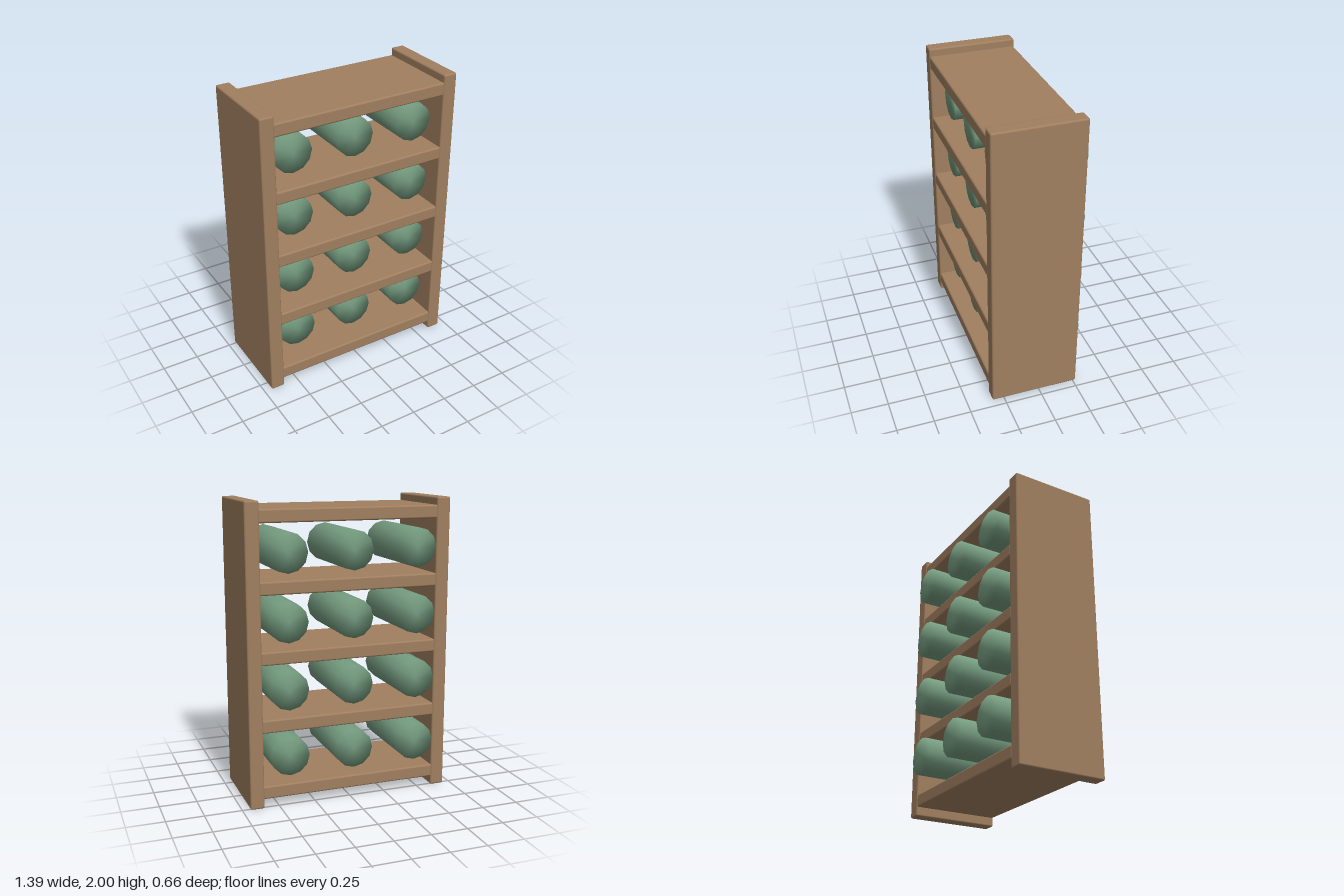
import * as THREE from 'three';
import { mergeVertices } from 'three/addons/utils/BufferGeometryUtils.js';
import { RoundedBoxGeometry } from 'three/addons/geometries/RoundedBoxGeometry.js';

export function createModel() {
  const model = new THREE.Group();
  model.name = 'rollRack';

  const wood = new THREE.MeshStandardMaterial({ color: 0xa07f5f });
  wood.name = 'wood';
  const green = new THREE.MeshStandardMaterial({ color: 0x759c80 });
  green.name = 'green';

  function add(name, geometry, material, x, y, z) {
    const mesh = new THREE.Mesh(geometry, material);
    mesh.name = name;
    mesh.position.set(x, y, z);
    model.add(mesh);
  }

  // Upright side boards
  const sideGeo = new RoundedBoxGeometry(0.095, 2, 0.6, 2, 0.012);
  add('leftSide', sideGeo, wood, 0.65, 1, 0.03);
  add('rightSide', sideGeo, wood, -0.65, 1, 0.03);

  // Five shelves with softened edges
  const shelfGeo = new RoundedBoxGeometry(1.22, 0.087, 0.595, 2, 0.012);
  for (let i = 0; i < 5; i++) add('shelf', shelfGeo, wood, 0, 0.105 + i * 0.45, 0.03);

  // Twelve-sided roll, with normals blended over the rim of its flat ends
  let rollGeo = new THREE.CylinderGeometry(0.13, 0.13, 0.57, 12);
  rollGeo.rotateX(Math.PI / 2);
  rollGeo.deleteAttribute('normal');
  rollGeo.deleteAttribute('uv');
  rollGeo = mergeVertices(rollGeo, 1e-4);
  rollGeo.computeVertexNormals();

  // Three rolls in each of the four bays, sticking out at the back
  for (let row = 0; row < 4; row++) {
    for (let col = -1; col <= 1; col++) {
      add('roll', rollGeo, green, col * 0.44, 0.363 + row * 0.44, -0.045);
    }
  }

  return model;
}
